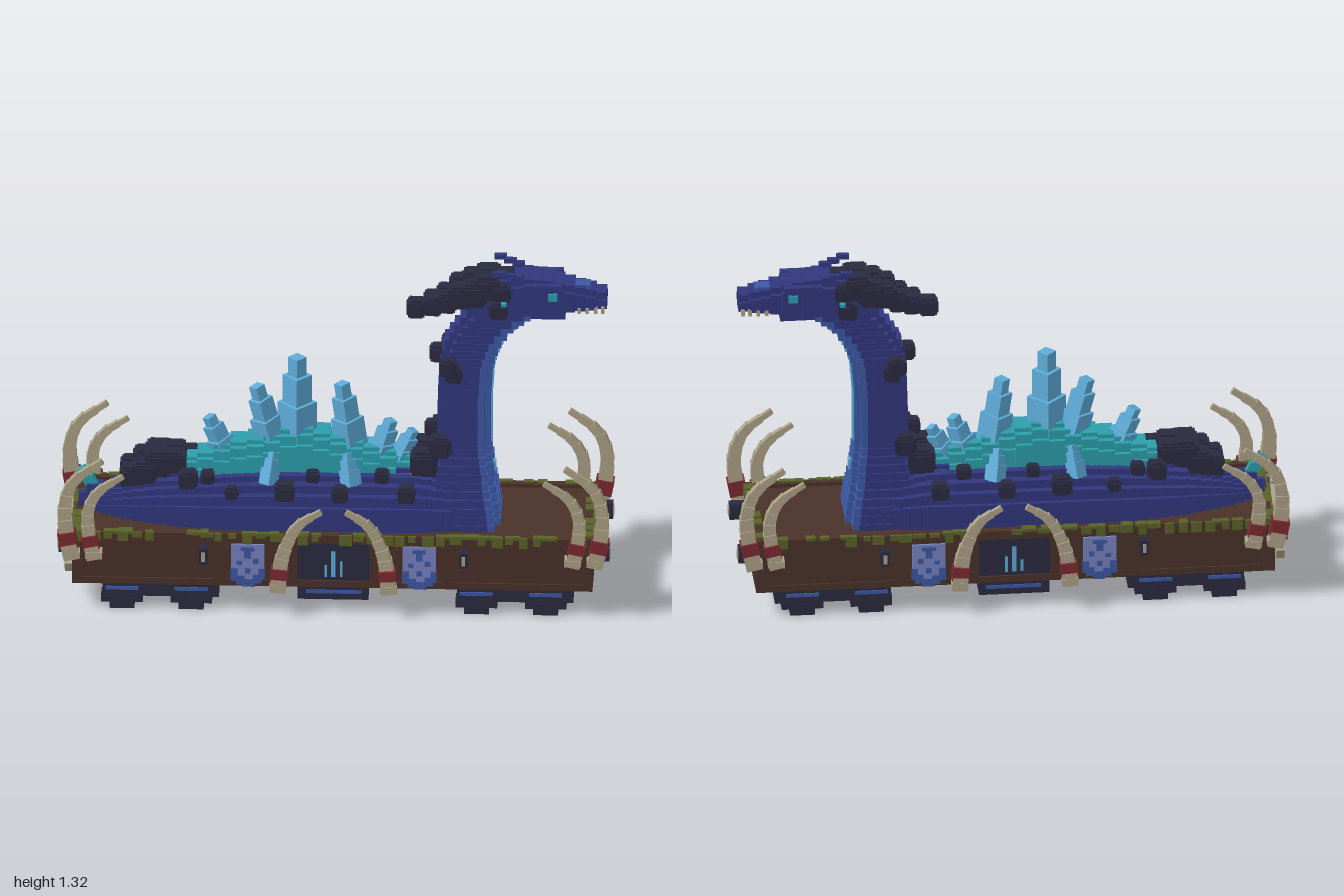
import * as THREE from 'three';
import { mergeGeometries } from 'three/addons/utils/BufferGeometryUtils.js';

const mat = (name, color) => {
  const m = new THREE.MeshStandardMaterial({ color });
  m.name = name;
  return m;
};

// range box: x0, x1, y0, y1, z0, z1
const rb = (x0, x1, y0, y1, z0, z1) =>
  new THREE.BoxGeometry(x1 - x0, y1 - y0, z1 - z0).translate((x0 + x1) / 2, (y0 + y1) / 2, (z0 + z1) / 2);
// box symmetric about z = 0, and a pair of boxes mirrored in z
const cb = (x0, x1, y0, y1, w) => rb(x0, x1, y0, y1, -w, w);
const pair = (x0, x1, y0, y1, z0, z1) => [rb(x0, x1, y0, y1, z0, z1), rb(x0, x1, y0, y1, -z1, -z0)];

// linear interpolation in rows [t, a, b, ...]
function sample(rows, t) {
  let i = 0;
  while (i < rows.length - 2 && t > rows[i + 1][0]) i++;
  const [p, q] = [rows[i], rows[i + 1]];
  const k = Math.min(1, Math.max(0, (t - p[0]) / (q[0] - p[0])));
  return p.slice(1).map((v, j) => v + (q[j + 1] - v) * k);
}

export function createModel() {
  const root = new THREE.Group();
  root.name = 'serpentWagon';
  const M = {
    dark: mat('charcoal', 0x2a2a40), navy: mat('navy scales', 0x31377e), blue: mat('belly blue', 0x3d58a4),
    ice: mat('ice', 0x5dabd8), teal: mat('teal', 0x2c9fab), brown: mat('brown wood', 0x4a3129),
    moss: mat('moss', 0x5a6229), ivory: mat('ivory', 0xaca086), red: mat('red binding', 0x7c2a30),
    peri: mat('periwinkle cloth', 0x7882c0),
  };
  const add = (name, m, geos) => {
    const mesh = new THREE.Mesh(mergeGeometries(geos.flat()), m);
    mesh.name = name;
    root.add(mesh);
  };
  let seed = 7;
  const rand = () => (seed = (seed * 16807) % 2147483647) / 2147483647;

  // Wagon: deck, hollow underside, framed walls
  const wagon = [cb(-0.93, 0.92, 0.27, 0.305, 0.22), pair(-0.94, 0.935, 0.28, 0.318, 0.205, 0.235)];
  wagon.push(pair(-0.94, 0.935, 0.11, 0.28, 0.195, 0.228));
  for (const [a, b] of [[-0.945, -0.91], [0.9, 0.935]]) wagon.push(cb(a, b, 0.11, 0.318, 0.23));
  wagon.push(pair(-0.94, 0.935, 0.11, 0.135, 0.2, 0.235));
  for (const x of [-0.925, -0.41, -0.15, 0.15, 0.41, 0.915])
    wagon.push(pair(x - 0.02, x + 0.02, 0.11, 0.28, 0.2, 0.235));
  add('wagonBody', M.brown, wagon);

  // Moss: side patches hanging from the rim and sparser patches on top
  const moss = [];
  for (const s of [-1, 1]) for (let x = -0.93; x < 0.88; x += 0.05) {
    const put = (x0, w, y0, y1, z0, z1) => moss.push(s > 0 ? rb(x0, x0 + w, y0, y1, z0, z1) : rb(x0, x0 + w, y0, y1, -z1, -z0));
    if (rand() < 0.75) put(x, 0.025 + rand() * 0.025, 0.318 - 0.012 - rand() * 0.028, 0.32, 0.23, 0.239);
    if (rand() < 0.5) put(x, 0.025 + rand() * 0.04, 0.312, 0.323, 0.203 + rand() * 0.02, 0.238);
  }
  for (let z = -0.21; z < 0.18; z += 0.055) {
    const d = 0.025 + rand() * 0.02;
    moss.push(rb(0.93, 0.939, 0.318 - d, 0.32, z, z + 0.05), rb(-0.949, -0.94, 0.318 - d, 0.32, z, z + 0.045));
    if (rand() < 0.6) moss.push(rb(0.9, 0.937, 0.312, 0.323, z, z + 0.04), rb(-0.947, -0.9, 0.312, 0.323, z, z + 0.05));
  }
  add('moss', M.moss, moss);

  // Bogies and the middle box under the wagon
  const bogies = [], strips = [];
  for (const cx of [-0.625, 0.655]) {
    bogies.push(pair(cx - 0.21, cx + 0.21, 0.05, 0.112, 0.13, 0.21));
    for (const o of [-0.14, 0.11]) {
      bogies.push(pair(cx + o - 0.075, cx + o + 0.075, 0.025, 0.06, 0.165, 0.212));
      bogies.push(pair(cx + o - 0.045, cx + o + 0.045, 0, 0.03, 0.17, 0.212));
      strips.push(pair(cx + o - 0.06, cx + o + 0.06, 0.075, 0.088, 0.208, 0.215));
    }
  }
  bogies.push(pair(-0.13, 0.125, 0.05, 0.112, 0.14, 0.212));
  strips.push(pair(-0.1, 0.1, 0.075, 0.088, 0.21, 0.216));
  add('bogies', M.dark, bogies);
  add('bogieStrips', M.blue, strips);

  // Dark panels running through the walls, with crystal emblems on both faces
  add('panels', M.dark, [pair(-0.13, 0.13, 0.14, 0.285, 0.19, 0.237), rb(0.93, 0.939, 0.155, 0.28, -0.085, 0.085)]);
  add('panelCrystals', M.ice, [[-0.028, 0.2, 0.005], [0, 0.255, 0.008], [0.028, 0.215, 0.005]].flatMap(([x, y, w]) =>
    [pair(x - w, x + w, 0.155, y, 0.234, 0.241), pair(x - 2 * w, x + 2 * w, 0.15, y, 0.186, 0.192)]));
  const emblem = [];
  for (let i = 0; i < 16; i++) {
    const a = i * Math.PI / 8, z = 0.042 * Math.cos(a), y = 0.222 + 0.042 * Math.sin(a);
    emblem.push(rb(0.936, 0.942, y - 0.003, y + 0.003, z - 0.006, z + 0.006));
  }
  for (const z of [-0.022, 0.01]) emblem.push(rb(0.936, 0.942, 0.222, 0.236, z, z + 0.012));
  add('endEmblem', M.teal, emblem);

  // Cloth banners with ragged darker patches and their inner sides
  const cloth = [], patches = [];
  for (const s of [-1, 1]) {
    const x = s * 0.31;
    cloth.push(pair(x - 0.06, x + 0.06, 0.145, 0.28, 0.234, 0.243), pair(x - 0.04, x + 0.04, 0.125, 0.145, 0.234, 0.243));
    patches.push(pair(x - 0.05, x + 0.05, 0.14, 0.265, 0.188, 0.196));
    for (const [a, b, w, h] of [[-0.062, 0.135, 0.025, 0.05], [-0.042, 0.12, 0.03, 0.035], [-0.02, 0.112, 0.045, 0.03],
      [0.02, 0.125, 0.03, 0.035], [0.04, 0.14, 0.022, 0.045], [-0.01, 0.165, 0.02, 0.02], [-0.04, 0.2, 0.02, 0.015],
      [0.02, 0.205, 0.02, 0.02], [-0.025, 0.255, 0.05, 0.015], [-0.012, 0.225, 0.024, 0.03]])
      patches.push(pair(x + a, x + a + w, b, b + h, 0.238, 0.246));
  }
  add('banners', M.peri, cloth);
  add('bannerPatches', M.blue, patches);

  // Lanterns on the sides and ends
  const lamps = [], lights = [];
  for (const x of [-0.47, 0.47]) {
    lamps.push(pair(x - 0.016, x + 0.016, 0.21, 0.27, 0.23, 0.268));
    lights.push(pair(x - 0.007, x + 0.007, 0.222, 0.258, 0.25, 0.271));
  }
  for (const [a, b] of [[-0.995, -0.94], [0.93, 0.995]]) {
    lamps.push(pair(a, b, 0.21, 0.27, 0.152, 0.19));
    lights.push(pair(a - 0.004, b + 0.004, 0.222, 0.258, 0.163, 0.18));
  }
  add('lanterns', M.dark, lamps);
  add('lanternLights', M.ivory, lights);

  // Tusks: tapering blocks along a curve, bound with red
  const tusks = [], bands = [];
  const tusk = (pts, w0) => {
    const curve = new THREE.CatmullRomCurve3(pts.map(([x, y]) => new THREE.Vector3(x, y, 0)));
    const n = 9;
    for (const s of [-1, 1]) for (let i = 0; i < n; i++) {
      const a = curve.getPointAt(i / n), b = curve.getPointAt((i + 1) / n), d = b.clone().sub(a);
      const w = w0 * (i === 1 ? 1.12 : 1 - 0.75 * (i / n) ** 1.4);
      const g = new THREE.BoxGeometry(w, d.length() + 0.012, w * 0.85).rotateZ(Math.atan2(d.y, d.x) - Math.PI / 2)
        .translate((a.x + b.x) / 2, (a.y + b.y) / 2, s * (0.252 - 0.017 * Math.min(1, i / 5)));
      (i === 1 ? bands : tusks).push(g);
    }
    const [x, y] = pts[0];
    tusks.push(pair(x - 0.03, x + 0.03, y, y + 0.025, 0.22, 0.277));
  };
  for (const s of [-1, 1]) {
    tusk([[s * 0.945, 0.228], [s * 0.965, 0.33], [s * 0.97, 0.43], [s * 0.94, 0.52], [s * 0.84, 0.6]], 0.058);
    tusk([[s * 0.865, 0.228], [s * 0.885, 0.33], [s * 0.885, 0.41], [s * 0.85, 0.48], [s * 0.765, 0.54]], 0.052);
    tusk([[s * 0.2, 0.108], [s * 0.192, 0.2], [s * 0.17, 0.28], [s * 0.125, 0.36], [s * 0.05, 0.41]], 0.056);
  }
  add('tusks', M.ivory, tusks);
  add('tuskBindings', M.red, bands);

  // Crossed bones on the rear end
  add('crossedBones', M.ivory, [-1, 1].map((s) => [[0, 0.3, 0.03], [0.14, 0.035, 0.06], [-0.14, 0.035, 0.06]].map(([o, h, w]) =>
    new THREE.BoxGeometry(0.03, h, w).translate(0, o, 0).rotateX(s * 0.95).translate(-0.968 - s * 0.008, 0.21, 0))));

  // Serpent body: stepped slices along x, rows are [x, half width, top]
  const bodyRows = [[-0.93, 0.015, 0.36], [-0.85, 0.06, 0.38], [-0.77, 0.1, 0.42], [-0.65, 0.14, 0.46], [-0.45, 0.178, 0.495],
    [-0.2, 0.192, 0.515], [0.1, 0.192, 0.515], [0.3, 0.18, 0.51], [0.45, 0.155, 0.47], [0.55, 0.11, 0.4], [0.6, 0.07, 0.36]];
  const body = [];
  for (let x = -0.93; x < 0.5; x += 0.04) {
    const [w, top] = sample(bodyRows, x + 0.02);
    for (const [f, k] of [[1, 0.5], [0.92, 0.68], [0.78, 0.82], [0.6, 0.92], [0.4, 1]])
      body.push(cb(x, x + 0.04, 0.29, 0.29 + (top - 0.29) * k, w * f));
  }
  body.push(cb(-0.9, -0.84, 0.33, 0.4, 0.025));
  add('serpentBody', M.navy, body);
  add('tailFin', M.teal, [[-0.9, 0.42, 0.05, 0.09], [-0.88, 0.4, 0.05, 0.06]].map(([x, y, w, h]) =>
    new THREE.BoxGeometry(w * 0.7, h, 0.026).rotateZ(0.5).translate(x, y, 0)));

  // Neck: stacked slices, rows are [y, back, front, half width]
  const neckRows = [[0.3, 0.33, 0.6, 0.165], [0.38, 0.33, 0.59, 0.15], [0.46, 0.335, 0.575, 0.12], [0.52, 0.34, 0.57, 0.108],
    [0.6, 0.365, 0.56, 0.087], [0.8, 0.37, 0.56, 0.085], [0.93, 0.375, 0.57, 0.082], [1.0, 0.39, 0.595, 0.072],
    [1.06, 0.425, 0.635, 0.066], [1.11, 0.46, 0.7, 0.062], [1.16, 0.5, 0.78, 0.06]];
  const neck = [], belly = [], stripe = [];
  for (let y = 0.3; y < 1.15; y += 0.03) {
    const [b, f, w] = sample(neckRows, y + 0.015);
    neck.push(cb(b + 0.03, f - 0.045, y, y + 0.03, w), cb(b, f - 0.04, y, y + 0.03, w * 0.65));
    belly.push(cb(f - 0.045, f - 0.02, y, y + 0.03, w * 0.96), cb(f - 0.045, f, y, y + 0.03, w * 0.6));
    if (y > 0.58 && y < 1.0) stripe.push(cb(f - 0.01, f + 0.006, y, y + 0.03, 0.016));
  }
  stripe.push(cb(0.56, 0.58, 0.48, 0.52, 0.012), cb(0.62, 0.65, 1.05, 1.075, 0.014));
  add('neck', M.navy, neck);
  add('neckBelly', M.blue, belly);
  add('neckStripe', M.ice, stripe);

  // Head: slices along x, rows are [x, bottom, top, half width]
  const headRows = [[0.48, 1.12, 1.2, 0.06], [0.56, 1.12, 1.265, 0.075], [0.7, 1.125, 1.28, 0.078], [0.78, 1.135, 1.268, 0.07],
    [0.88, 1.145, 1.24, 0.055], [0.95, 1.15, 1.225, 0.05], [0.98, 1.16, 1.21, 0.042]];
  const head = [];
  for (let i = 0; i < 13; i++) {
    const x = 0.48 + i * 0.5 / 13, [lo, hi, w] = sample(headRows, x + 0.02);
    head.push(cb(x, x + 0.5 / 13, lo + 0.015, hi - 0.025, w), cb(x, x + 0.5 / 13, lo, hi, w * 0.75));
  }
  head.push(cb(0.66, 0.83, 1.115, 1.16, 0.05));
  head.push(pair(0.68, 0.82, 1.235, 1.262, 0.055, 0.08));
  for (const [x, y, z] of [[0.66, 1.285, 0.06], [0.63, 1.295, 0.066], [0.595, 1.307, 0.074]])
    head.push(pair(x - 0.025, x + 0.02, y - 0.01, y + 0.008, z - 0.012, z + 0.008));
  add('head', M.navy, head);
  add('snoutPatch', M.blue, [cb(0.83, 0.92, 1.225, 1.243, 0.025), cb(0.68, 0.76, 1.11, 1.118, 0.04)]);
  add('eyes', M.teal, [pair(0.768, 0.802, 1.2, 1.228, 0.064, 0.077), pair(0.6, 0.62, 1.195, 1.207, 0.1, 0.12)]);
  add('teeth', M.ivory, [[0.88, 0.056], [0.91, 0.055], [0.94, 0.054], [0.965, 0.052]].map(([x, z]) =>
    pair(x - 0.006, x + 0.006, 1.142, 1.165, 0.038, z)));

  // Dark mane, weed clumps and back plates; z of 0 makes one clump, otherwise a pair
  const clumps = [];
  const clump = (x, y, z, r) => {
    for (const s of z ? [-1, 1] : [1])
      for (const [a, b, c] of [[1, 0.6, 0.65], [0.65, 1, 0.6], [0.7, 0.65, 1], [0.85, 0.8, 0.8]])
        clumps.push(new THREE.BoxGeometry(2 * r * a, 2 * r * b, 2 * r * c).translate(x, y, s * z));
  };
  for (const [x, y, z, r] of [[0.61, 1.25, 0, 0.04], [0.6, 1.225, 0.058, 0.035], [0.55, 1.235, 0.035, 0.05], [0.5, 1.215, 0.045, 0.048],
    [0.45, 1.2, 0.04, 0.043], [0.4, 1.17, 0.03, 0.038], [0.35, 1.15, 0.02, 0.035], [0.29, 1.13, 0, 0.035], [0.59, 1.168, 0.085, 0.033],
    [0.41, 0.94, 0.1, 0.032], [0.43, 0.91, 0.095, 0.03], [0.37, 0.95, 0, 0.032], [0.38, 0.61, 0.075, 0.04], [0.35, 0.645, 0, 0.03],
    [0.32, 0.53, 0.05, 0.05], [-0.74, 0.45, 0.035, 0.04], [-0.69, 0.475, 0.05, 0.045], [-0.64, 0.505, 0.03, 0.05],
    [-0.58, 0.51, 0.035, 0.042], [-0.53, 0.47, 0.1, 0.035], [-0.46, 0.48, 0.1, 0.025], [-0.18, 0.455, 0.155, 0.036],
    [0.02, 0.45, 0.16, 0.03], [0.26, 0.45, 0.15, 0.032], [-0.37, 0.44, 0.145, 0.026], [-0.08, 0.495, 0.11, 0.024], [0.17, 0.495, 0.1, 0.026]])
    clump(x, y, z, r);
  add('maneAndClumps', M.dark, clumps);

  // Stepped ice mound
  const mound = [];
  for (let x = -0.56; x < 0.3; x += 0.06) {
    const [top, w] = sample([[-0.56, 0.515, 0.045], [-0.48, 0.54, 0.078], [-0.4, 0.585, 0.08], [-0.25, 0.61, 0.085],
      [-0.14, 0.66, 0.085], [0, 0.62, 0.085], [0.15, 0.575, 0.08], [0.24, 0.55, 0.078], [0.32, 0.51, 0.04]], x + 0.03);
    mound.push(cb(x, x + 0.06, 0.47, top - 0.05, w), cb(x, x + 0.06, 0.47, top - 0.015, w * 0.82), cb(x, x + 0.06, 0.47, top, w * 0.55));
  }
  add('iceMound', M.teal, mound);

  // Crystals: tapering turned blocks, [x, y, z, length, width, lean about z, lean about x]
  const crystals = [[-0.14, 0.56, 0, 0.36, 0.1, 0, 0], [-0.22, 0.55, 0, 0.26, 0.085, 0.26, 0], [-0.385, 0.5, 0, 0.19, 0.075, 0.4, 0],
    [0.06, 0.54, 0, 0.28, 0.085, 0.14, 0], [0.145, 0.5, 0, 0.18, 0.075, -0.3, 0], [0.21, 0.49, 0, 0.16, 0.065, -0.45, 0]];
  for (const s of [-1, 1])
    crystals.push([-0.24, 0.465, s * 0.125, 0.12, 0.05, -0.15, s * -0.35], [0.06, 0.465, s * 0.125, 0.12, 0.055, 0.15, s * -0.35]);
  add('iceCrystals', M.ice, crystals.flatMap(([x, y, z, len, w, rz, rx]) =>
    [[0, 0.5, 1], [0.5, 0.8, 0.75], [0.8, 1, 0.48]].map(([a, b, k]) =>
      new THREE.BoxGeometry(w * k, len * (b - a), w * k).rotateY(Math.PI / 4).translate(0, len * (a + b) / 2, 0)
        .rotateX(rx).rotateZ(rz).translate(x, y, z))));
  return root;
}
